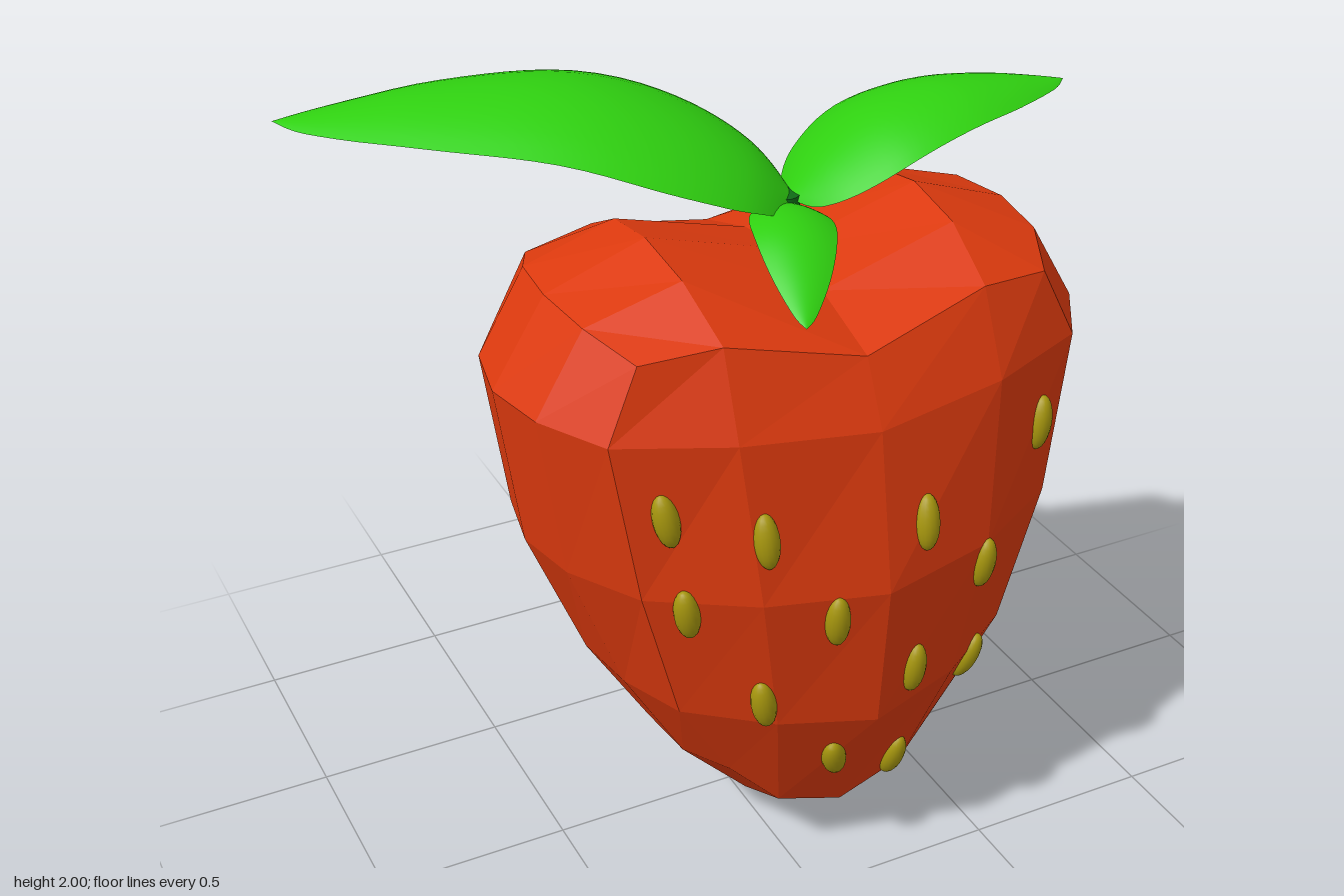
import * as THREE from 'three';

const paint = (color, extra = {}) => new THREE.MeshStandardMaterial({ color, ...extra });
const CX = 0.145; // the fruit sits a little to its left

// Quarter of each level of the fruit, as [x, y, z]: front centre, front middle, corner, side middle, side centre
const LEVELS = [
  [[0, 0.14, 0.36], [0.18, 0.2, 0.355], [0.31, 0.33, 0.33], [0.37, 0.305, 0.18], [0.385, 0.3, 0]],
  [[0, 0.52, 0.535], [0.25, 0.55, 0.475], [0.46, 0.58, 0.355], [0.53, 0.58, 0.18], [0.555, 0.58, 0]],
  [[0, 0.92, 0.57], [0.31, 0.94, 0.51], [0.56, 0.95, 0.37], [0.67, 0.95, 0.18], [0.705, 0.95, 0]],
  [[0, 1.33, 0.5], [0.35, 1.36, 0.46], [0.625, 1.37, 0.35], [0.73, 1.38, 0.18], [0.765, 1.38, 0]],
  [[0, 1.49, 0.42], [0.345, 1.57, 0.37], [0.54, 1.55, 0.33], [0.605, 1.59, 0.18], [0.625, 1.6, 0]],
];
// Inner points of the two end caps: centre, x middle, z middle, diagonal
const CAP_BOTTOM = [[0, 0, 0], [0.195, 0.09, 0], [0, 0.04, 0.19], [0.19, 0.12, 0.185]];
const CAP_TOP = [[0, 1.585, 0], [0.365, 1.69, 0], [0, 1.56, 0.2], [0.36, 1.66, 0.19]];

// Point of a level on a 5 x 5 grid, i and j from -2 to 2, mirrored out of the quarter
function gridPoint(level, cap, i, j) {
  const a = Math.abs(i), b = Math.abs(j);
  const p = b === 2 ? level[a] : a === 2 ? level[4 - b] : cap[a + 2 * b];
  return [Math.sign(i) * p[0], p[1], Math.sign(j) * p[2]];
}

function fruitGeometry() {
  const pos = [];
  const quad = (a, b, c, d) => pos.push(...a, ...b, ...c, ...a, ...c, ...d);
  // Path once round the edge of the grid
  const path = [];
  for (let k = -2; k < 2; k++) path.push([k, 2]);
  for (let k = 2; k > -2; k--) path.push([2, k]);
  for (let k = 2; k > -2; k--) path.push([k, -2]);
  for (let k = -2; k < 2; k++) path.push([-2, k]);
  for (let r = 0; r < LEVELS.length - 1; r++) {
    path.forEach((a, n) => {
      const b = path[(n + 1) % path.length];
      const at = (row, q) => gridPoint(LEVELS[row], null, ...q);
      quad(at(r, a), at(r, b), at(r + 1, b), at(r + 1, a));
    });
  }
  for (let i = -2; i < 2; i++) {
    for (let j = -2; j < 2; j++) {
      const corners = [[i, j], [i, j + 1], [i + 1, j + 1], [i + 1, j]];
      quad(...corners.map((q) => gridPoint(LEVELS[4], CAP_TOP, ...q)));
      quad(...corners.reverse().map((q) => gridPoint(LEVELS[0], CAP_BOTTOM, ...q)));
    }
  }
  const geo = new THREE.BufferGeometry();
  geo.setAttribute('position', new THREE.Float32BufferAttribute(pos, 3));
  geo.computeVertexNormals();
  return geo;
}

// Smooth curve through [t, value] pairs
function profile(points) {
  const curve = new THREE.SplineCurve(points.map((p) => new THREE.Vector2(...p)));
  return (s) => curve.getPoint(s);
}

// Half width along a leaf of unit length
const WIDTH = [[0, 0.02], [0.04, 0.125], [0.13, 0.205], [0.28, 0.245], [0.5, 0.222], [0.72, 0.16], [0.92, 0.065], [1, 0]];

// Arched leaf running along +x; heights is a list of [t, y] for its midrib
function leafGeometry(length, widthScale, heights, roll = 0) {
  const geo = new THREE.PlaneGeometry(1, 2, 36, 14);
  const p = geo.attributes.position;
  const width = profile(WIDTH), height = profile(heights);
  // Height at a given t, found by bisection along the curve
  const heightAt = (t) => {
    let lo = 0, hi = 1;
    for (let n = 0; n < 20; n++) {
      const mid = (lo + hi) / 2;
      if (height(mid).x < t) lo = mid; else hi = mid;
    }
    return height(lo).y;
  };
  for (let n = 0; n < p.count; n++) {
    const w = width(p.getX(n) + 0.5), v = p.getY(n);
    const half = Math.max(0, w.y) * widthScale;
    const t = THREE.MathUtils.clamp(w.x, 0, 1);
    p.setXYZ(n, t * length, heightAt(t) - 0.28 * half * v * v + roll * half * v, -half * v);
  }
  geo.computeVertexNormals();
  return geo;
}

export function createModel() {
  const model = new THREE.Group();
  model.name = 'strawberry';
  const add = (parent, name, geo, mat) => {
    const mesh = new THREE.Mesh(geo, mat);
    mesh.name = name;
    parent.add(mesh);
    return mesh;
  };

  // Faceted heart-shaped fruit
  const fruit = new THREE.Group();
  fruit.name = 'fruit';
  const body = add(fruit, 'body', fruitGeometry(), paint(0xdd3a0e, { flatShading: true }));

  // Seeds as [x, y, tilt], set on the front; the back repeats them turned round
  const seeds = [
    [-0.36, 1.17, 0.2], [-0.15, 1.11, 0.08], [0.26, 1.07, -0.05], [0.65, 1.18, -0.12],
    [-0.32, 0.91, 0.15], [0.02, 0.86, 0.03], [0.45, 0.88, -0.05], [-0.14, 0.62, 0.15],
    [0.25, 0.64, -0.05], [0.48, 0.53, -0.25], [0.07, 0.37, 0.25], [0.29, 0.25, -0.08],
  ];
  const seedGeo = new THREE.SphereGeometry(1, 16, 12).scale(0.032, 0.073, 0.03);
  const seedMat = paint(0xa8980e);
  const frontSeeds = new THREE.Group();
  frontSeeds.name = 'frontSeeds';
  const ray = new THREE.Raycaster();
  for (const [x, y, tilt] of seeds) {
    ray.set(new THREE.Vector3(x - CX, y, 2), new THREE.Vector3(0, 0, -1));
    const hit = ray.intersectObject(body)[0];
    const seed = add(frontSeeds, 'seed', seedGeo, seedMat);
    seed.position.copy(hit.point);
    seed.quaternion.setFromUnitVectors(new THREE.Vector3(0, 0, 1), hit.face.normal);
    seed.rotateZ(tilt);
  }
  const backSeeds = frontSeeds.clone();
  backSeeds.name = 'backSeeds';
  backSeeds.rotation.y = Math.PI;
  fruit.add(frontSeeds, backSeeds);

  // Stem
  const stem = add(fruit, 'stem', new THREE.CylinderGeometry(0.04, 0.04, 0.17, 16), paint(0x0f6b16));
  stem.position.y = 1.645;
  fruit.position.x = CX;
  model.add(fruit);

  // Three leaves fanning out from the stem
  const leafMat = paint(0x2fd010, { side: THREE.DoubleSide });
  const leaf = (name, x, z, yaw, ...shape) => {
    const mesh = add(model, name, leafGeometry(...shape), leafMat);
    mesh.position.set(x, 0, z);
    mesh.rotation.y = yaw;
  };
  leaf('largeLeaf', 0.17, 0, 2.67, 1.23, 1.22,
    [[0, 1.72], [0.08, 1.825], [0.2, 1.915], [0.35, 1.98], [0.5, 2], [0.7, 1.98], [0.85, 1.945], [1, 1.905]]);
  leaf('mediumLeaf', 0.16, 0, 0, 0.77, 0.8,
    [[0, 1.72], [0.12, 1.81], [0.3, 1.895], [0.52, 1.93], [0.75, 1.92], [1, 1.885]]);
  leaf('smallLeaf', 0.15, 0.01, -1.95, 0.42, 0.42,
    [[0, 1.71], [0.2, 1.735], [0.45, 1.725], [0.7, 1.675], [1, 1.585]], -0.1);

  return model;
}
